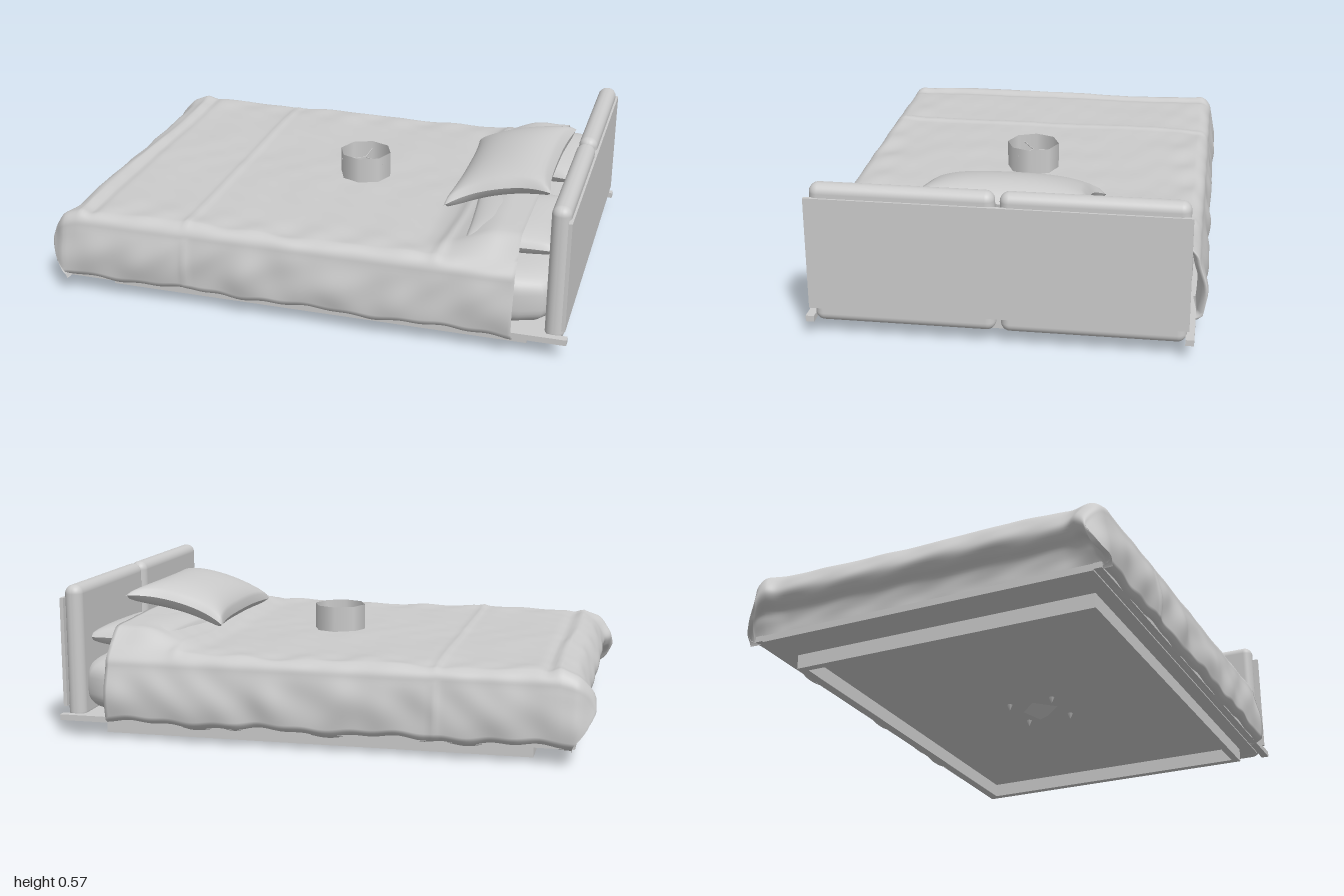
import * as THREE from 'three';
import { RoundedBoxGeometry } from 'three/addons/geometries/RoundedBoxGeometry.js';

const grey = new THREE.MeshStandardMaterial({ color: 0xcccccc });
const thin = new THREE.MeshStandardMaterial({ color: 0xcccccc, side: THREE.DoubleSide });
const { smoothstep, lerp } = THREE.MathUtils;
const toPoints = list => list.map(p => new THREE.Vector2(...p));

function add(group, name, geometry, x = 0, y = 0, z = 0, material = grey) {
  const mesh = new THREE.Mesh(geometry, material);
  mesh.name = name;
  mesh.position.set(x, y, z);
  group.add(mesh);
  return mesh;
}

// Box between two corners
function box(group, name, x0, x1, y0, y1, z0, z1) {
  return add(group, name, new THREE.BoxGeometry(x1 - x0, y1 - y0, z1 - z0),
    (x0 + x1) / 2, (y0 + y1) / 2, (z0 + z1) / 2);
}

// Smooth surface through a grid of points: point(i, j) returns [x, y, z]
function gridSurface(rows, cols, point) {
  const pos = [], idx = [];
  for (let i = 0; i < rows; i++) for (let j = 0; j < cols; j++) pos.push(...point(i, j));
  for (let i = 0; i < rows - 1; i++) for (let j = 0; j < cols - 1; j++) {
    const a = i * cols + j, b = a + cols;
    idx.push(a, a + 1, b, a + 1, b + 1, b);
  }
  const g = new THREE.BufferGeometry();
  g.setAttribute('position', new THREE.Float32BufferAttribute(pos, 3));
  g.setIndex(idx);
  g.computeVertexNormals();
  return g;
}

// Mattress: superellipse rings from bottom to top, closed in the middle
function mattressGeometry(w, l, h) {
  const rows = 29, cols = 97;
  return gridSurface(rows, cols, (i, j) => {
    const a = -j / (cols - 1) * Math.PI * 2, b = (-1 + 2 * i / (rows - 1)) * Math.PI / 2;
    const c = Math.cos(a), s = Math.sin(a);
    const ring = Math.max(Math.cos(b), 0) ** 0.15;
    const k = ring / (Math.abs(c) ** 12 + Math.abs(s) ** 12) ** (1 / 12);
    return [w / 2 * k * c, h / 2 * Math.sign(b) * Math.abs(Math.sin(b)) ** 0.6, l / 2 * k * s];
  });
}

// Pillow with pulled-out, softly rounded corners, width along x, length along z
function pillowGeometry(w, l, h, pinch, arch) {
  const g = new THREE.BoxGeometry(2, 2, 2, 36, 1, 36);
  const p = g.attributes.position;
  for (let i = 0; i < p.count; i++) {
    const u = p.getX(i), v = p.getZ(i);
    const puff = ((1 - u ** 4) * (1 - v ** 4)) ** 0.42 * (0.8 + 0.2 * (1 - u * u) * (1 - v * v));
    const ear = 1 - 0.05 * (u * v) ** 8;
    p.setXYZ(i,
      u * w / 2 * (1 - pinch * (1 - Math.abs(v) ** 3)) * ear,
      p.getY(i) * puff * h / 2 + arch * (1 - u * u),
      v * l / 2 * (1 - pinch * (1 - Math.abs(u) ** 3)) * ear);
  }
  g.computeVertexNormals();
  return g;
}

// Soft wrinkles for the top, lumps for the hanging sides
function wrinkle(a, b) {
  return Math.sin(9 * a + 3 * Math.sin(4 * b + 1)) * 0.4
    + Math.sin(17 * a - 11 * b + 2 * Math.sin(5 * a)) * 0.3
    + Math.sin(31 * a + 13 * b + 2 * Math.sin(9 * b)) * 0.2
    + Math.sin(47 * b - 23 * a) * 0.12;
}
function lumps(x, y) {
  return Math.sin(11 * x + 2 * Math.sin(7 * x)) * Math.sin(16 * y + 1.5 * Math.sin(5 * x)) * 0.5
    + Math.sin(25 * x + 1.2 * Math.sin(14 * y)) * Math.sin(20 * y + 2 * Math.sin(6 * x)) * 0.4
    + Math.sin(43 * x - 6 * y) * 0.1;
}

// How far the blanket reaches over the foot at a given height
function footReach(y) {
  return y > 0.22 ? -1.1 : lerp(-0.918, -0.975, smoothstep(y, 0.05, 0.22));
}

function blanketGeometry() {
  // Rows from the inner hem at the head, along the bed, then down the foot: [x, top height, inset]
  const rows = [[0.66, 0.33, 0.03], [0.78, 0.33, 0.025], [0.8, 0.33, 0.012]];
  for (let i = 0; i <= 130; i++) rows.push([lerp(0.805, -0.86, i / 130), 0.33, 0]);
  const foot = new THREE.SplineCurve(toPoints([[-0.87, 0.33], [-0.92, 0.31], [-0.955, 0.265],
    [-0.97, 0.225], [-0.955, 0.19], [-0.93, 0.16], [-0.92, 0.12], [-0.918, 0.075]]));
  for (const p of foot.getPoints(32)) rows.push([p.x, p.y, 0]);

  const cols = 141, r = 0.05;
  return gridSurface(rows.length, cols, (i, j) => {
    let [x, top, inset] = rows[i];
    const t = 1 - 2 * j / (cols - 1), side = Math.sign(t) || 1, p = 1 - Math.abs(t);
    const low = 0.056 + 0.006 * Math.sin(13 * x + side) + 0.004 * Math.sin(37 * x);
    const drop = Math.max(top - r - low, 0.004), rr = Math.min(r, top - low);
    const seam = Math.exp(-(((x + 0.435) / 0.012) ** 2));
    let y, z;
    if (p < 0.25) { // hanging side, bulging, with a rolled hem
      const k = p / 0.25;
      y = low + drop * k;
      z = 0.702 - 0.014 * k + 0.012 * Math.sin(Math.PI * k) - 0.04 * smoothstep(0.1 - k, 0, 0.1);
      z += (0.013 * lumps(x + side, y) + 0.006 * seam) * Math.sin(Math.PI * (0.15 + 0.75 * k));
    } else if (p < 0.4) { // rounded shoulder
      const a = (p - 0.25) / 0.15 * Math.PI / 2;
      y = top - rr + rr * Math.sin(a);
      z = 0.638 + r * Math.cos(a) + 0.004 * lumps(x + side, y) * Math.cos(a);
    } else {
      y = top;
      z = 0.638 * (1 - (p - 0.4) / 0.6);
    }
    const flat = smoothstep(p, 0.28, 0.42), onTop = smoothstep(top, 0.26, 0.33);
    z = side * (z - inset);
    // rise over the pillows, fold steps and wrinkles
    const rise = 0.085 * smoothstep(x, 0.44, 0.72) * smoothstep(0.68 - Math.abs(z), 0, 0.12);
    const edge = smoothstep(Math.abs(z), 0.4, 0.66);
    const folds = 0.007 * seam
      + 0.007 * Math.exp(-(((x + 0.87 + 0.02 * Math.sin(5 * z)) / 0.02) ** 2))
      - 0.008 * Math.exp(-(((x + 0.83) / 0.02) ** 2))
      + 0.008 * Math.exp(-(((x - 0.53 - 0.02 * Math.sin(6 * z)) / 0.02) ** 2));
    y += rise + flat * onTop * (folds + (0.003 + 0.007 * edge) * wrinkle(x, z)) - inset * flat;
    // foot end tucks under towards the floor and bulges out at its corners
    const end = smoothstep(-x, 0.85, 0.95), corner = smoothstep(Math.abs(z), 0.55, 0.66);
    x = Math.max(x, footReach(y));
    x -= end * (0.025 * corner * smoothstep(y, 0.05, 0.14) + 0.007 * wrinkle(z, y * 2));
    z -= side * corner * 0.035 * smoothstep(-x, 0.93, 1.0);
    return [x, y, z];
  });
}

export function createModel() {
  const bed = new THREE.Group();
  bed.name = 'bed';

  // Hollow plinth
  const rim = new THREE.Shape(toPoints([[-0.78, -0.595], [0.845, -0.595], [0.845, 0.595], [-0.78, 0.595]]));
  rim.holes.push(new THREE.Path(toPoints([[-0.75, -0.565], [-0.75, 0.565], [0.815, 0.565], [0.815, -0.565]])));
  add(bed, 'plinth', new THREE.ExtrudeGeometry(rim, { depth: 0.056, bevelEnabled: false })
    .rotateX(-Math.PI / 2));

  // Platform and side rails
  box(bed, 'platform', -0.93, 0.92, 0.055, 0.08, -0.65, 0.65);
  for (const s of [-1, 1]) box(bed, 'sideRail', -0.93, 0.998, 0.06, 0.082, s * 0.665 - 0.015, s * 0.665 + 0.015);

  // Mattress
  add(bed, 'mattress', mattressGeometry(1.86, 1.32, 0.22), 0.022, 0.185, 0);

  // Headboard panel and its two cushions, whose lower fronts curve back
  box(bed, 'headboardPanel', 0.976, 0.99, 0.11, 0.525, -0.662, 0.668);
  for (const s of [-1, 1]) {
    add(bed, 'headboardCushion', new RoundedBoxGeometry(0.07, 0.518, 0.645, 6, 0.033), 0.947, 0.312, s * 0.331);
  }

  // Bed pillows, partly under the blanket
  for (const s of [-1, 1]) {
    const pillow = add(bed, 'bedPillow', pillowGeometry(0.34, 0.48, 0.11, 0.06, 0), 0.742, 0.36, s * 0.34);
    pillow.rotation.y = s * 0.08;
  }

  // Blanket
  add(bed, 'blanket', blanketGeometry(), 0, 0, 0, thin);

  // Loose pillow leaning on the blanket
  const loose = add(bed, 'throwPillow', pillowGeometry(0.43, 0.7, 0.13, 0.16, 0.025), 0.666, 0.434, 0.005);
  loose.rotation.z = 0.25;

  // Eight-sided open shade with a three-armed support
  const shade = new THREE.Group();
  shade.name = 'shade';
  shade.position.set(0.07, 0.33, 0);
  bed.add(shade);
  add(shade, 'shadeWall', new THREE.CylinderGeometry(0.102, 0.102, 0.1, 8, 1, true), 0, 0.05, 0, thin);
  for (let i = 0; i < 3; i++) {
    const arm = new THREE.BoxGeometry(0.003, 0.003, 0.098).translate(0, 0, 0.049)
      .rotateY(Math.PI + i * Math.PI * 2 / 3);
    add(shade, 'shadeArm', arm, 0, 0.07, 0);
  }

  // Small fittings under the platform
  add(bed, 'underFitting', new THREE.OctahedronGeometry(0.075), 0.07, 0.055, 0).scale.y = 0.6;
  for (let i = 0; i < 4; i++) {
    const a = Math.PI / 4 + i * Math.PI / 2;
    const pin = add(bed, 'underPin', new THREE.ConeGeometry(0.014, 0.03, 6),
      0.07 + 0.13 * Math.cos(a), 0.045, 0.13 * Math.sin(a));
    pin.rotation.x = Math.PI;
  }
  return bed;
}
